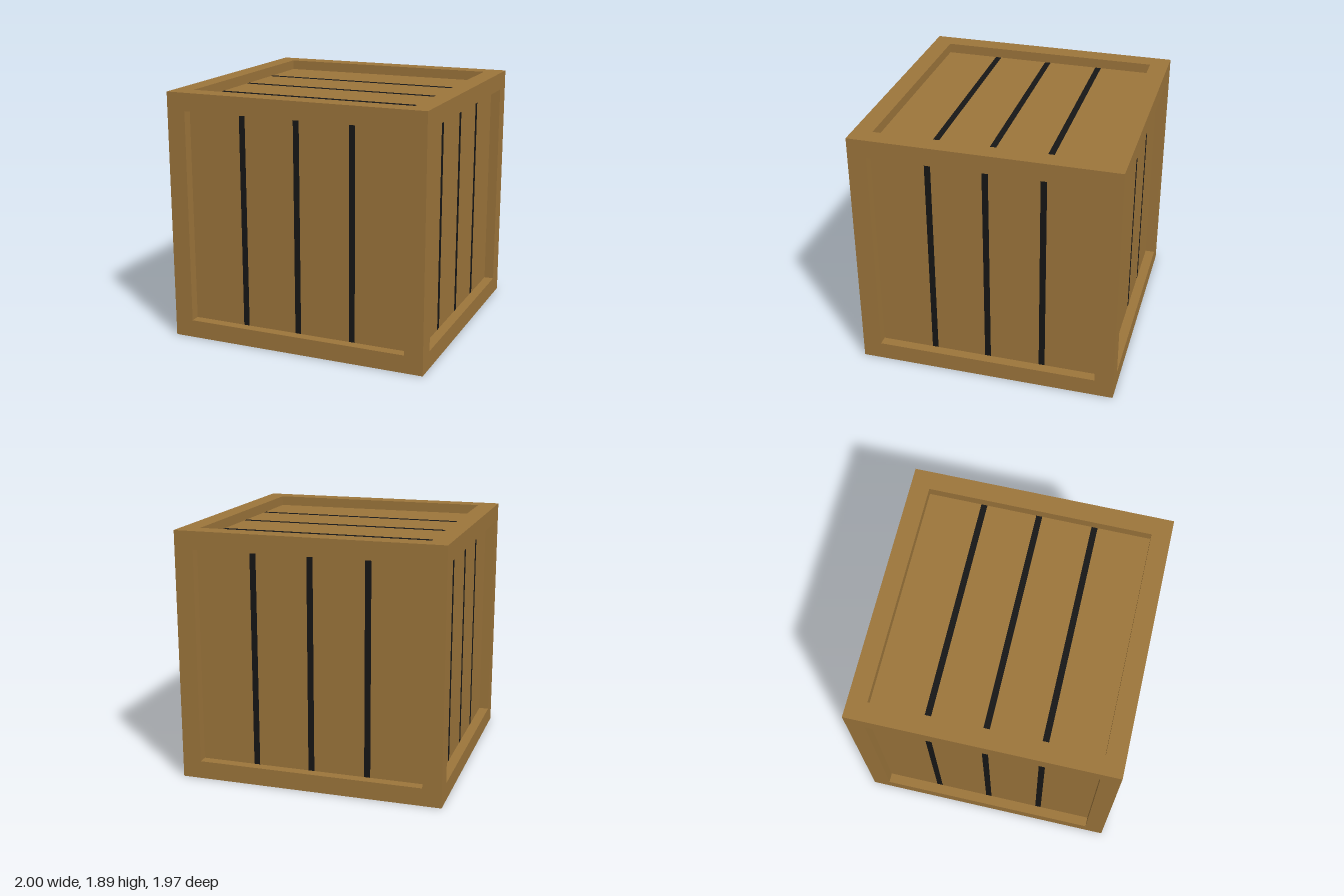
import * as THREE from 'three';

const HALF = new THREE.Vector3(1, 0.945, 0.985);    // half size of the crate
const OPEN = new THREE.Vector3(0.857, 0.81, 0.842); // half size of the openings
const RECESS = 0.075, THICK = 0.04, GAP = 0.046;

const wood = new THREE.MeshStandardMaterial({ color: 0x9c753b, flatShading: true });
const dark = new THREE.MeshStandardMaterial({ color: 0x161616, flatShading: true });

// Mitred rim and the inner walls of its opening, facing local +z
function frameGeometry(w, h, ow, oh) {
  const rect = (a, b, z) => [[-a, -b, z], [a, -b, z], [a, b, z], [-a, b, z]];
  const loops = [rect(w, h, 0), rect(ow, oh, 0), rect(ow, oh, -RECESS)];
  const positions = [];
  for (let l = 0; l < 2; l++) {
    for (let i = 0; i < 4; i++) {
      const j = (i + 1) % 4;
      const a = loops[l][i], b = loops[l][j], c = loops[l + 1][j], d = loops[l + 1][i];
      positions.push(...a, ...b, ...c, ...a, ...c, ...d);
    }
  }
  const geometry = new THREE.BufferGeometry();
  geometry.setAttribute('position', new THREE.Float32BufferAttribute(positions, 3));
  geometry.computeVertexNormals();
  return geometry;
}

// One side: frame, four planks and the three dark seams between them.
// u runs across the planks, v along them, n points outward.
function createSide(name, u, v, n) {
  const size = (vec, axis) => Math.abs(vec.dot(axis));
  const ow = size(OPEN, u), oh = size(OPEN, v);
  const side = new THREE.Group();
  side.name = name;

  const add = (part, geometry, material, x = 0, z = 0) => {
    const mesh = new THREE.Mesh(geometry, material);
    mesh.name = part;
    mesh.position.set(x, 0, z);
    side.add(mesh);
  };

  add('frame', frameGeometry(size(HALF, u), size(HALF, v), ow, oh), wood);

  const pitch = ow / 2, z = -RECESS - THICK / 2;
  for (let i = 0; i < 4; i++) {
    // Outer planks reach the frame, inner edges stop at the seams
    const left = -ow + i * pitch + (i > 0 ? GAP / 2 : 0);
    const right = -ow + (i + 1) * pitch - (i < 3 ? GAP / 2 : 0);
    add('plank', new THREE.BoxGeometry(right - left, oh * 2, THICK), wood, (left + right) / 2, z);
    if (i < 3) add('seam', new THREE.BoxGeometry(GAP, oh * 2, THICK), dark, -ow + (i + 1) * pitch, z);
  }

  side.quaternion.setFromRotationMatrix(new THREE.Matrix4().makeBasis(u, v, n));
  side.position.copy(n).multiplyScalar(size(HALF, n));
  side.position.y += HALF.y;
  return side;
}

export function createModel() {
  const V = (x, y, z) => new THREE.Vector3(x, y, z);
  const crate = new THREE.Group();
  crate.name = 'crate';
  crate.add(
    createSide('frontSide', V(1, 0, 0), V(0, 1, 0), V(0, 0, 1)),
    createSide('backSide', V(-1, 0, 0), V(0, 1, 0), V(0, 0, -1)),
    createSide('leftSide', V(0, 0, -1), V(0, 1, 0), V(1, 0, 0)),
    createSide('rightSide', V(0, 0, 1), V(0, 1, 0), V(-1, 0, 0)),
    createSide('topSide', V(0, 0, 1), V(1, 0, 0), V(0, 1, 0)),
    createSide('bottomSide', V(1, 0, 0), V(0, 0, 1), V(0, -1, 0)),
  );
  return crate;
}
